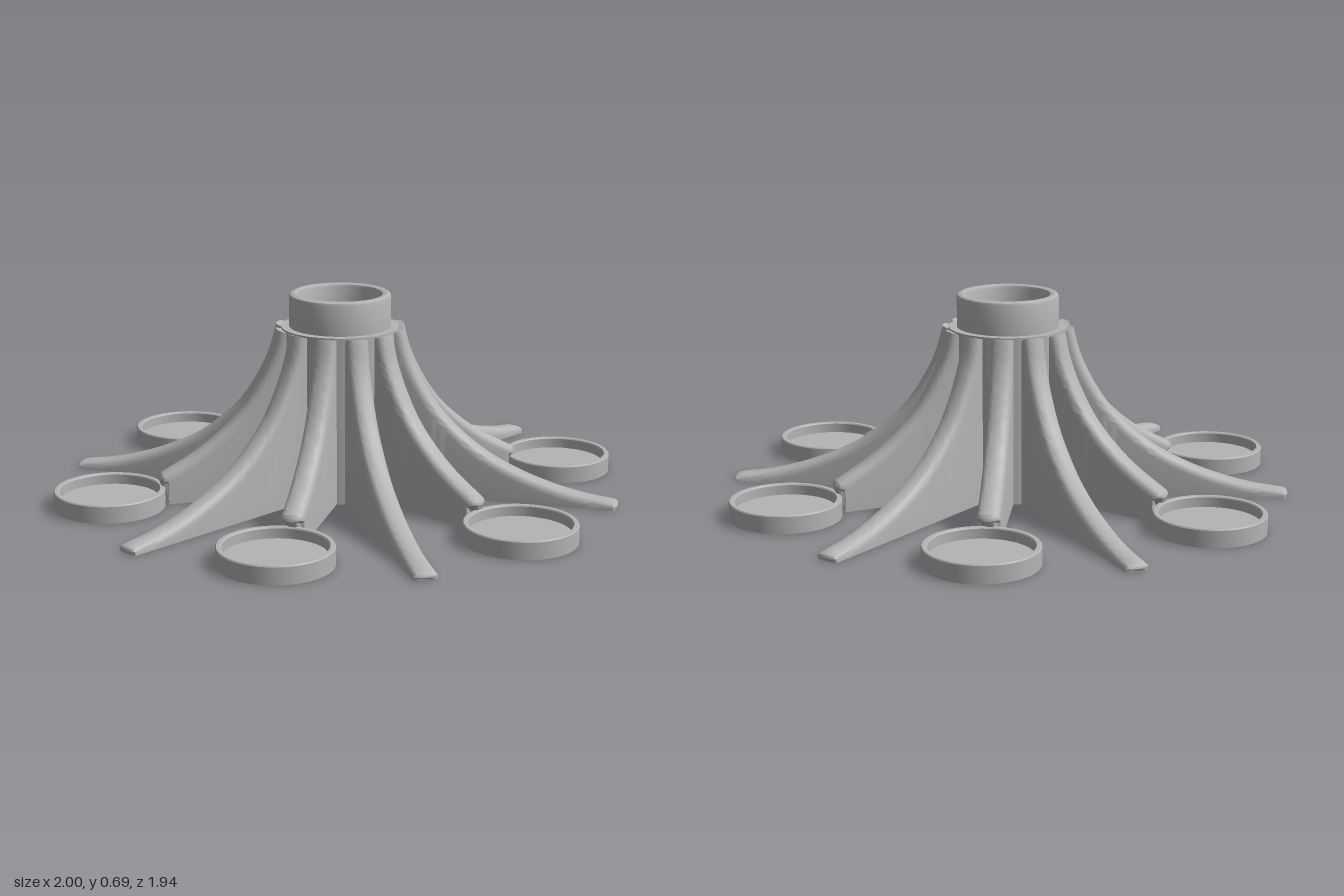
import * as THREE from 'three';
import { toCreasedNormals } from 'three/addons/utils/BufferGeometryUtils.js';

const V2 = (p) => new THREE.Vector2(p[0], p[1]);
const CREASE = 0.6;

function lathe(points, segments) {
  return toCreasedNormals(new THREE.LatheGeometry(points.map(V2), segments), CREASE);
}

// Upright rib with a rounded back; profile is [radius, height] along its top edge
function finGeometry(profile, halfWidth, round) {
  const curve = new THREE.CatmullRomCurve3(profile.map(([r, y]) => new THREE.Vector3(r, y, 0)));
  const rows = 56, arc = 10, cols = arc + 3;
  const pos = [], index = [];
  for (let i = 0; i <= rows; i++) {
    const t = i / rows;
    const p = curve.getPoint(t), d = curve.getTangent(t);
    const nx = -d.y, ny = d.x;
    const b = Math.min(round, p.y * 0.65);
    const w = halfWidth * (i === rows ? 0.72 : i === rows - 1 ? 0.92 : 1);
    const baseR = p.x - nx * b;
    pos.push(baseR, 0, -w);
    for (let j = 0; j <= arc; j++) {
      const a = -Math.PI / 2 + (Math.PI * j) / arc;
      const drop = b * (1 - Math.cos(a));
      const z = Math.sign(Math.sin(a)) * (w - round * 0.9) + round * 0.9 * Math.sin(a);
      pos.push(p.x - nx * drop, p.y - ny * drop, j === arc / 2 ? 0 : z);
    }
    pos.push(baseR, 0, w);
  }
  for (let i = 0; i < rows; i++) {
    for (let j = 0; j < cols; j++) {
      const k = (j + 1) % cols;
      const a = i * cols + j, b = i * cols + k, c = a + cols, e = b + cols;
      index.push(a, b, c, b, e, c);
    }
  }
  // End caps
  for (let j = 2; j < cols - 2; j++) index.push(1, j + 1, j);
  const last = rows * cols;
  for (let j = 1; j < cols - 1; j++) index.push(last, last + j, last + j + 1);
  const geo = new THREE.BufferGeometry();
  geo.setAttribute('position', new THREE.Float32BufferAttribute(pos, 3));
  geo.setIndex(index);
  return toCreasedNormals(geo, CREASE);
}

export function createModel() {
  const grey = new THREE.MeshStandardMaterial({ color: 0xb4b4b4 });
  grey.name = 'plain grey';
  const model = new THREE.Group();
  model.name = 'radialStand';

  const add = (name, geometry) => {
    const mesh = new THREE.Mesh(geometry, grey);
    mesh.name = name;
    model.add(mesh);
    return mesh;
  };

  // Hollow centre tube with a narrower collar on top
  add('centreTube', lathe([
    [0.187, 0], [0.203, 0], [0.203, 0.58], [0.175, 0.58], [0.175, 0.683], [0.172, 0.691], [0.165, 0.695],
    [0.152, 0.695], [0.146, 0.692], [0.143, 0.685], [0.143, 0.54], [0.187, 0.48], [0.187, 0],
  ], 72));

  // Ribs sweep down from the collar: long ones reach the ground, short ones meet the cups
  const sweep = [[0.225, 0.58], [0.25, 0.49], [0.295, 0.395], [0.355, 0.305], [0.43, 0.23], [0.52, 0.163]];
  const longFin = finGeometry(
    [...sweep, [0.63, 0.108], [0.75, 0.066], [0.86, 0.04], [0.955, 0.026], [0.967, 0.021], [0.972, 0.01]], 0.039, 0.03);
  const shortFin = finGeometry([...sweep, [0.62, 0.108], [0.636, 0.098], [0.643, 0.08]], 0.039, 0.03);

  // Shallow round cup
  const cup = lathe([
    [0, 0], [0.188, 0], [0.188, 0.058], [0.185, 0.062],
    [0.171, 0.062], [0.168, 0.058], [0.168, 0.025], [0, 0.025],
  ], 64);

  for (let i = 0; i < 6; i++) {
    const a = (i * Math.PI) / 3;
    add('shortRib', shortFin).rotation.y = a;
    add('longRib', longFin).rotation.y = a + Math.PI / 6;
    add('footCup', cup).position.set(0.812 * Math.cos(a), 0, -0.812 * Math.sin(a));
  }
  return model;
}
